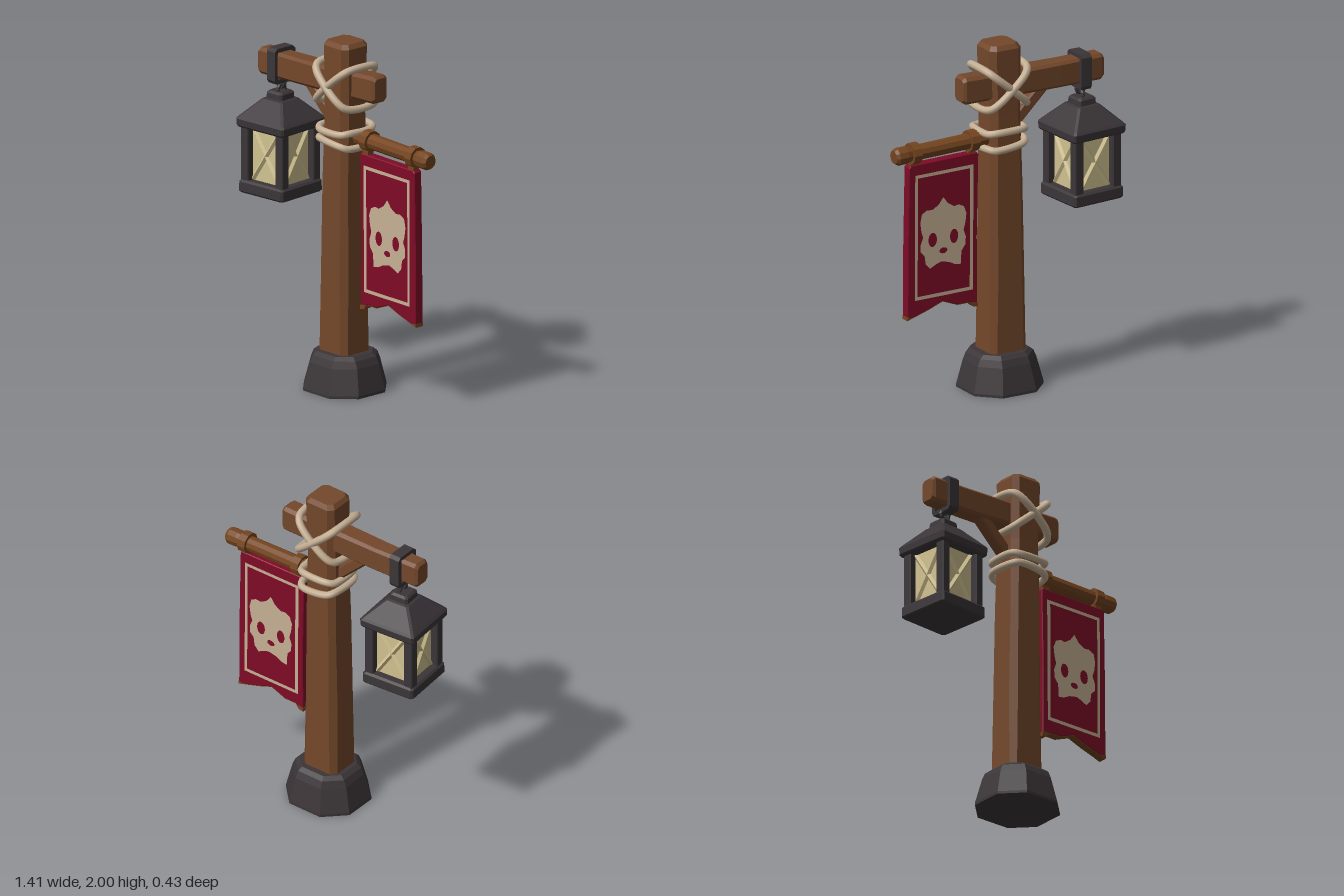
import * as THREE from 'three';

const mat = (name, color, extra = {}) =>
  Object.assign(new THREE.MeshStandardMaterial({ color, ...extra }), { name });

// Chamfered column lofted through sections [y, halfX, halfZ, chamfer, centreX, centreZ]
function loft(sections) {
  const rings = sections.map(([y, hx, hz, c, cx = 0, cz = 0]) =>
    [[hx, hz - c], [hx, c - hz], [hx - c, -hz], [c - hx, -hz],
      [-hx, c - hz], [-hx, hz - c], [c - hx, hz], [hx - c, hz]]
      .map(([x, z]) => [cx + x, y, cz + z]));
  const pos = [];
  const tri = (...p) => p.forEach((v) => pos.push(...v));
  const last = rings.length - 1;
  const mid = ([y, , , , cx = 0, cz = 0]) => [cx, y, cz];
  for (let j = 0; j < 8; j++) {
    const k = (j + 1) % 8;
    for (let i = 0; i < last; i++) {
      const a = rings[i], b = rings[i + 1];
      tri(a[j], a[k], b[k]);
      tri(a[j], b[k], b[j]);
    }
    tri(mid(sections[0]), rings[0][k], rings[0][j]);
    tri(mid(sections[last]), rings[last][j], rings[last][k]);
  }
  const g = new THREE.BufferGeometry();
  g.setAttribute('position', new THREE.Float32BufferAttribute(pos, 3));
  g.computeVertexNormals();
  return g;
}

const polygon = (pts) => new THREE.Shape(pts.map(([x, y]) => new THREE.Vector2(x, y)));
const ellipseHole = (x, y, rx, ry) => new THREE.Path().absellipse(x, y, rx, ry, 0, Math.PI * 2, true);

export function createModel() {
  const model = new THREE.Group();
  model.name = 'signpost';
  const wood = mat('wood', 0x74482b, { flatShading: true });
  const rodWood = mat('rod wood', 0x75451f, { flatShading: true });
  const iron = mat('dark iron and stone', 0x3b3538, { flatShading: true });
  const cream = mat('cream rope and paint', 0xc6b095, { side: THREE.DoubleSide });
  const red = mat('banner red', 0x7f0b26);
  const glass = mat('lantern glass', 0xd2c391, { flatShading: true });

  const add = (name, geometry, material, parent = model) => {
    const m = new THREE.Mesh(geometry, material);
    m.name = name;
    parent.add(m);
    return m;
  };

  // Stone foot and post
  add('stoneFoot', loft([
    [0, 0.222, 0.213, 0.115, 0.013], [0.015, 0.222, 0.213, 0.115, 0.013],
    [0.16, 0.188, 0.18, 0.1, 0.015], [0.2, 0.17, 0.163, 0.085, 0.015],
    [0.22, 0.145, 0.14, 0.07, 0.015],
  ]), iron);
  add('post', loft([
    [0.2, 0.115, 0.106, 0.03, 0.008], [0.7, 0.11, 0.103, 0.035, 0.008],
    [1.2, 0.103, 0.098, 0.03, 0.012], [1.6, 0.098, 0.093, 0.035, 0.015],
    [1.975, 0.1, 0.096, 0.03, 0.02], [2, 0.082, 0.078, 0.025, 0.02],
  ]), wood);

  // Crossbeam, lofted along y then laid along x
  add('crossbeam', loft([
    [-0.637, 0.062, 0.042, 0.015, -1.748, 0.01], [-0.62, 0.076, 0.052, 0.018, -1.749, 0.01],
    [-0.35, 0.073, 0.058, 0.015, -1.752, 0], [-0.1, 0.074, 0.062, 0.018, -1.758, -0.005],
    [0.268, 0.078, 0.056, 0.018, -1.768, -0.02], [0.286, 0.064, 0.044, 0.015, -1.768, -0.02],
  ]), wood).rotation.z = -Math.PI / 2;

  // Diagonal brace
  const brace = add('brace', loft([[-0.17, 0.034, 0.036, 0.01], [0.17, 0.034, 0.036, 0.01]]), wood);
  brace.position.set(-0.15, 1.6, 0);
  brace.rotation.z = 0.8;

  // Banner rod with its two holding loops
  const rod = new THREE.Group();
  rod.name = 'bannerRod';
  rod.position.set(0.4, 1.454, -0.012);
  rod.rotation.z = -Math.PI / 2 - 0.025;
  model.add(rod);
  add('rod', new THREE.LatheGeometry([[0, -0.32], [0.045, -0.32], [0.044, 0], [0.043, 0.2],
    [0.05, 0.23], [0.05, 0.285], [0.038, 0.302], [0, 0.302]].map(([r, y]) => new THREE.Vector2(r, y)), 10), rodWood, rod);
  for (const s of [-0.197, 0.175]) {
    add('bannerLoop', new THREE.CylinderGeometry(0.061, 0.061, 0.05, 10), rodWood, rod).position.y = s;
    add('bannerTab', new THREE.BoxGeometry(0.045, 0.09, 0.04), rodWood).position.set(0.4 + s, 1.405, 0);
  }

  // Banner cloth with a notched lower edge
  const bottom = [[0.172, 0.495], [0.2, 0.5], [0.225, 0.525], [0.3, 0.525], [0.395, 0.562],
    [0.48, 0.53], [0.56, 0.505], [0.622, 0.487]];
  const depth = 0.046;
  add('banner', new THREE.ExtrudeGeometry(
    polygon([...bottom, [0.62, 0.9], [0.611, 1.37], [0.6, 1.382], [0.175, 1.388], [0.165, 1.375], [0.175, 0.9]]),
    { depth, bevelEnabled: true, bevelSize: 0.004, bevelThickness: 0.004, bevelOffset: -0.004, bevelSegments: 1 },
  ), red).position.z = -depth / 2;

  // Worn brown hem under the cloth and at its corners
  const hem = (pts, name) => add(name, new THREE.ExtrudeGeometry(polygon(pts),
    { depth: 0.057, bevelEnabled: false }), rodWood).position.z = -0.0285;
  hem([[0.17, 0.492], [0.2, 0.497], [0.218, 0.52], [0.19, 0.52], [0.171, 0.515]], 'hemCornerRight');
  hem([[0.585, 0.497], [0.623, 0.485], [0.622, 0.505]], 'hemCornerLeft');
  add('hemUnderside', new THREE.ExtrudeGeometry(
    polygon([...bottom, ...bottom.map(([x, y]) => [x, y - 0.004]).reverse()]),
    { depth, bevelEnabled: false }), rodWood).position.z = -depth / 2;

  // Painted frame and face emblem on both sides of the cloth
  const frame = polygon([[0.205, 0.597], [0.578, 0.595], [0.575, 1.322], [0.2, 1.325]]);
  frame.holes.push(new THREE.Path([[0.225, 0.617], [0.222, 1.305], [0.557, 1.303], [0.56, 0.615]]
    .map(([x, y]) => new THREE.Vector2(x, y))));
  const emblem = polygon([[0.394, 1.168], [0.425, 1.128], [0.465, 1.105], [0.5, 1.108], [0.532, 1.09],
    [0.543, 1.04], [0.535, 0.985], [0.524, 0.955], [0.54, 0.915], [0.54, 0.87], [0.515, 0.845],
    [0.508, 0.795], [0.48, 0.765], [0.44, 0.785], [0.41, 0.795], [0.36, 0.785], [0.32, 0.765], [0.283, 0.758],
    [0.278, 0.835], [0.252, 0.87], [0.25, 0.915], [0.264, 0.955], [0.252, 1.0], [0.246, 1.05],
    [0.262, 1.092], [0.295, 1.108], [0.325, 1.103], [0.365, 1.128]]);
  emblem.holes.push(ellipseHole(0.325, 0.93, 0.026, 0.041), ellipseHole(0.463, 0.93, 0.027, 0.041),
    ellipseHole(0.394, 0.858, 0.025, 0.017));
  for (const z of [-0.031, 0.031]) {
    add('bannerFrame', new THREE.ShapeGeometry(frame), cream).position.z = z;
    add('bannerEmblem', new THREE.ShapeGeometry(emblem), cream).position.z = z;
  }

  // Rope loops around the post; heights at the right and left side of each loop
  const ropeLoop = (name, yRight, yLeft, hx, hz, r, skew = 0) => {
    const L = 0.02 - hx, R = 0.02 + hx, k = 0.72;
    const pts = [[L, yLeft, -hz * k], [L, yLeft, hz * k], [0.02 - hx * k, yLeft * 0.85 + yRight * 0.15 + skew, hz],
      [0.02 + hx * k, yLeft * 0.15 + yRight * 0.85 + skew, hz], [R, yRight, hz * k], [R, yRight, -hz * k],
      [0.02 + hx * k, yLeft * 0.15 + yRight * 0.85 - skew, -hz], [0.02 - hx * k, yLeft * 0.85 + yRight * 0.15 - skew, -hz]];
    const curve = new THREE.CatmullRomCurve3(pts.map((p) => new THREE.Vector3(...p)), true);
    add(name, new THREE.TubeGeometry(curve, 64, r, 8, true), cream);
  };
  ropeLoop('crossedRope', 1.645, 1.86, 0.122, 0.135, 0.022);
  ropeLoop('crossedRope', 1.862, 1.65, 0.122, 0.13, 0.022);
  ropeLoop('lowerRope', 1.5, 1.502, 0.115, 0.117, 0.021, -0.008);
  ropeLoop('lowerRope', 1.412, 1.438, 0.115, 0.117, 0.021, 0.008);

  // Iron strap around the beam, with a link down to the lantern
  const strap = polygon([[-0.062, 1.645], [0.067, 1.645], [0.08, 1.665], [0.08, 1.83], [0.062, 1.848],
    [-0.055, 1.848], [-0.073, 1.83], [-0.073, 1.665]]);
  strap.holes.push(new THREE.Path([[-0.048, 1.67], [-0.048, 1.825], [0.055, 1.825], [0.055, 1.67]]
    .map(([x, y]) => new THREE.Vector2(x, y))));
  const strapMesh = add('hangerStrap', new THREE.ExtrudeGeometry(strap, { depth: 0.065, bevelEnabled: false }), iron);
  strapMesh.rotation.y = -Math.PI / 2;
  strapMesh.position.x = -0.47;
  for (const [y, turn] of [[1.638, 0], [1.598, Math.PI / 2]]) {
    const link = add('hangerLink', new THREE.TorusGeometry(0.027, 0.011, 6, 12), iron);
    link.position.set(-0.505, y, 0);
    link.rotation.y = turn;
  }

  // Lantern
  const lantern = new THREE.Group();
  lantern.name = 'lantern';
  lantern.position.set(-0.514, 0, -0.002);
  lantern.rotation.y = 0.088;
  model.add(lantern);
  add('lanternRoof', loft([
    [1.385, 0.168, 0.168, 0.012], [1.395, 0.176, 0.176, 0.012], [1.432, 0.178, 0.178, 0.012],
    [1.445, 0.168, 0.168, 0.012], [1.545, 0.074, 0.074, 0.012],
    [1.55, 0.06, 0.06, 0.012], [1.58, 0.058, 0.058, 0.012], [1.592, 0.046, 0.046, 0.01],
  ]), iron, lantern);
  add('lanternFloor', loft([
    [1.008, 0.158, 0.158, 0.012], [1.018, 0.167, 0.167, 0.012],
    [1.07, 0.166, 0.166, 0.012], [1.082, 0.155, 0.155, 0.012],
  ]), iron, lantern);
  add('lanternGlass', new THREE.BoxGeometry(0.23, 0.32, 0.23), glass, lantern).position.y = 1.235;
  for (let i = 0; i < 4; i++) {
    const side = new THREE.Group();
    side.name = 'lanternSide';
    side.rotation.y = i * Math.PI / 2;
    lantern.add(side);
    const p = add('lanternPost', loft([[1.07, 0.028, 0.028, 0.006], [1.4, 0.028, 0.028, 0.006]]), iron, side);
    p.position.set(0.128, 0, 0.128);
    // Raised cross on the pane
    for (const s of [-1, 1]) {
      const ridge = add('paneRidge', new THREE.CylinderGeometry(0.014, 0.014, 0.35, 4), glass, side);
      ridge.position.set(0, 1.235, 0.115);
      ridge.rotation.z = s * 0.58;
    }
  }
  return model;
}
